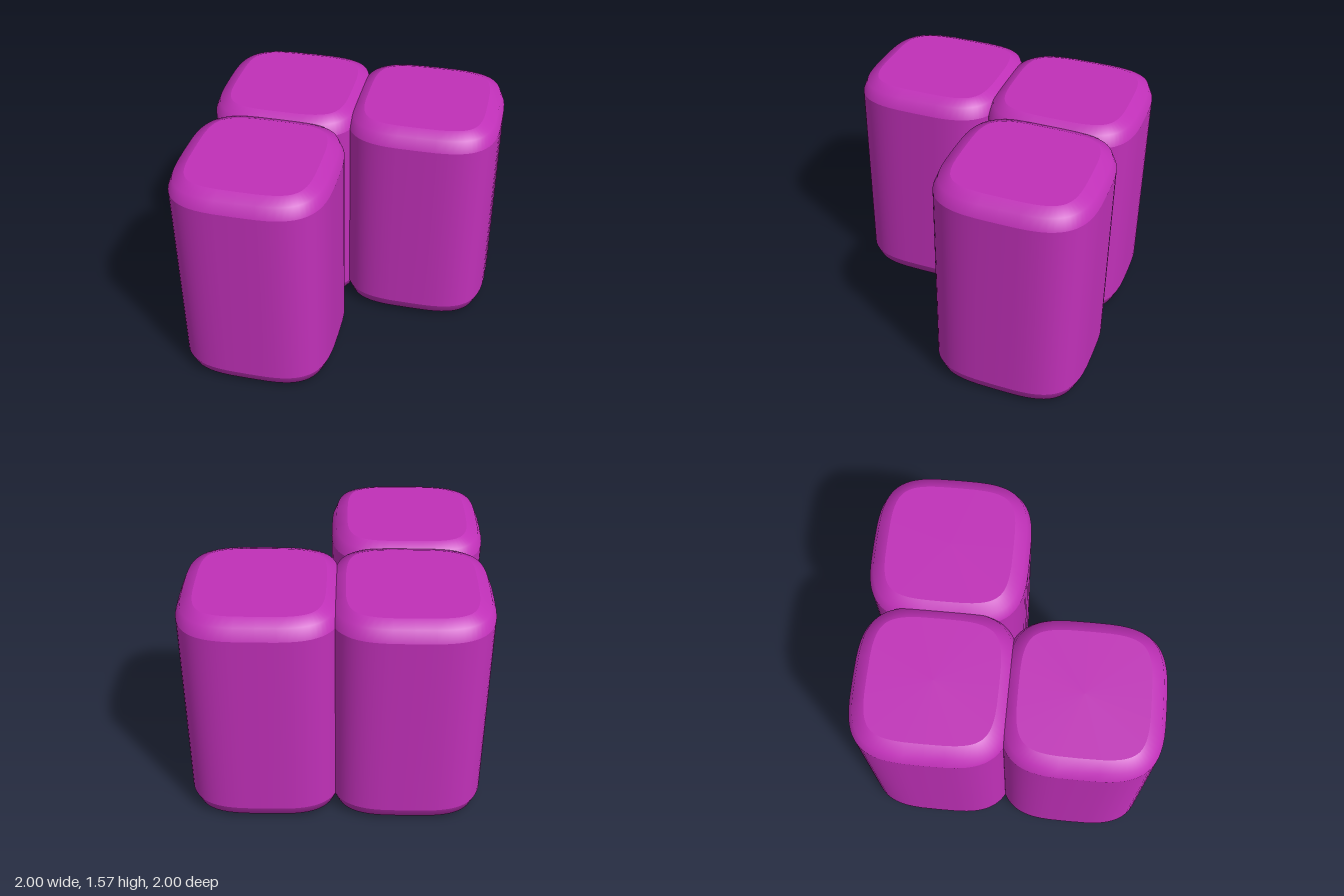
import * as THREE from 'three';
import { mergeGeometries } from 'three/addons/utils/BufferGeometryUtils.js';

const SEGMENTS = 64;
const HALF = 0.525, HEIGHT = 1.57, BEVEL = 0.11, POWER = 3.4;
const OFFSET = 0.475;

const signedPow = (v, p) => Math.sign(v) * Math.abs(v) ** p;

// Rounded-square ring at height y, moved inward along its outline normal
function ring(inset, y) {
  const points = [];
  for (let i = 0; i < SEGMENTS; i++) {
    const t = (i / SEGMENTS) * Math.PI * 2;
    const x = signedPow(Math.cos(t), 2 / POWER);
    const z = signedPow(Math.sin(t), 2 / POWER);
    const n = new THREE.Vector2(signedPow(x, POWER - 1), signedPow(z, POWER - 1)).normalize();
    points.push(x * HALF - n.x * inset, y, z * HALF - n.y * inset);
  }
  return points;
}

function build(positions, index) {
  const geometry = new THREE.BufferGeometry();
  geometry.setAttribute('position', new THREE.Float32BufferAttribute(positions, 3));
  geometry.setIndex(index);
  geometry.computeVertexNormals();
  return geometry;
}

// Smooth closed band through rings listed from bottom to top
function band(rings) {
  const index = [];
  for (let r = 0; r < rings.length - 1; r++) {
    for (let i = 0; i < SEGMENTS; i++) {
      const j = (i + 1) % SEGMENTS;
      const a = r * SEGMENTS + i, b = r * SEGMENTS + j;
      index.push(a, a + SEGMENTS, b, b, a + SEGMENTS, b + SEGMENTS);
    }
  }
  return build(rings.flat(), index);
}

// Flat end face
function cap(y, up) {
  const index = [];
  for (let i = 0; i < SEGMENTS; i++) {
    const j = (i + 1) % SEGMENTS;
    index.push(SEGMENTS, up ? j : i, up ? i : j);
  }
  return build([...ring(BEVEL, y), 0, y, 0], index);
}

// Wall, bevels and caps are separate pieces so the edges between them stay crisp
function pillarGeometry() {
  const mid = BEVEL * (1 - Math.SQRT1_2);
  const lower = [ring(BEVEL, 0), ring(mid, mid), ring(0, BEVEL)];
  const upper = [ring(0, HEIGHT - BEVEL), ring(mid, HEIGHT - mid), ring(BEVEL, HEIGHT)];
  return mergeGeometries([
    band([lower[2], upper[0]]),
    band(lower),
    band(upper),
    cap(0, false),
    cap(HEIGHT, true),
  ]);
}

export function createModel() {
  const group = new THREE.Group();
  group.name = 'pillarCluster';
  const material = new THREE.MeshStandardMaterial({ color: 0xc030b8 });
  const geometry = pillarGeometry();

  // Three pillars in an L-shaped layout
  const layout = [
    ['cornerPillar', -OFFSET, -OFFSET],
    ['leftPillar', OFFSET, -OFFSET],
    ['frontPillar', -OFFSET, OFFSET],
  ];
  for (const [name, x, z] of layout) {
    const pillar = new THREE.Mesh(geometry, material);
    pillar.name = name;
    pillar.position.set(x, 0, z);
    group.add(pillar);
  }
  return group;
}
